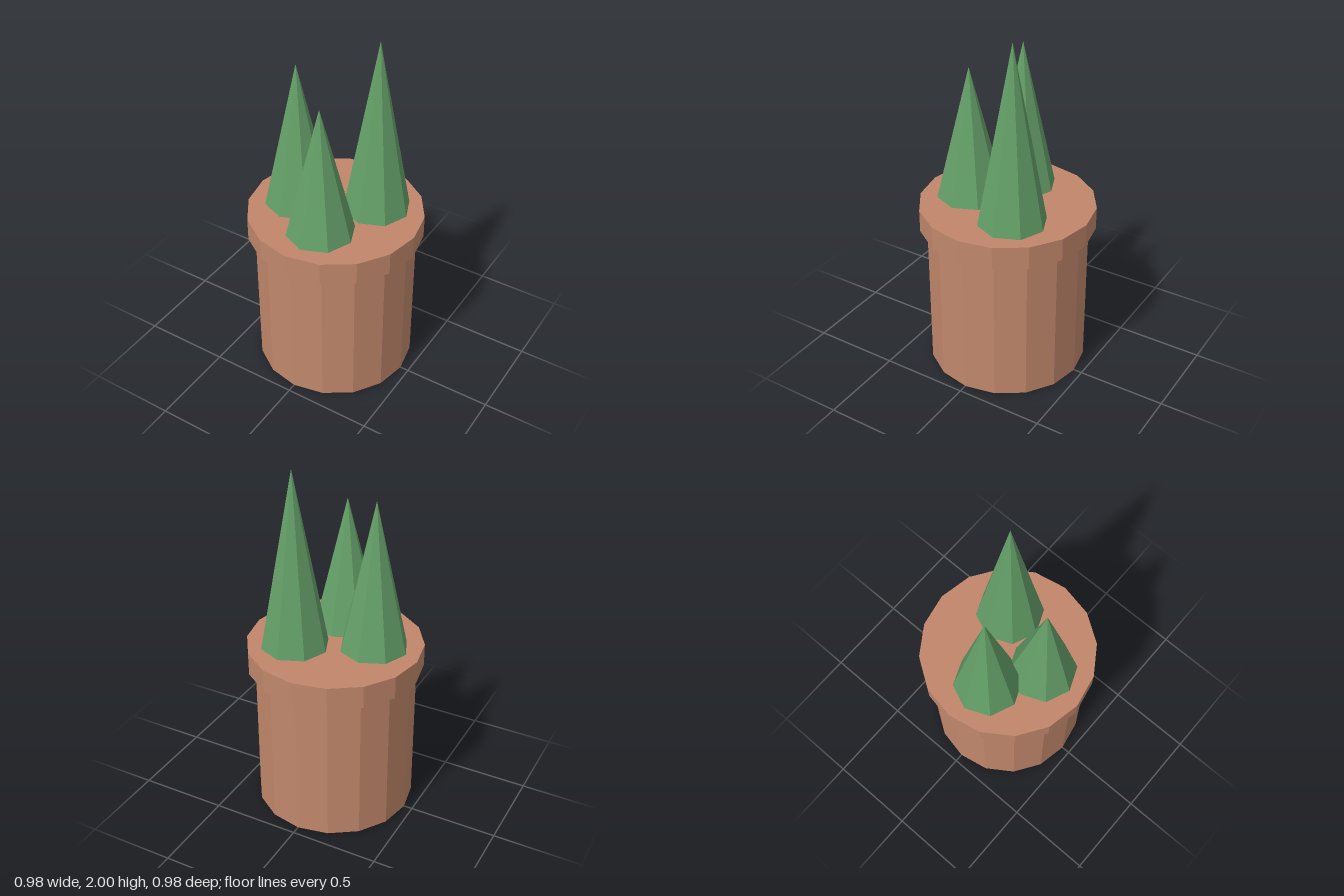
import * as THREE from 'three';

export function createModel() {
  const model = new THREE.Group();
  model.name = 'pottedPlant';
  const clay = new THREE.MeshStandardMaterial({ color: 0xc1876b, flatShading: true });
  const leaf = new THREE.MeshStandardMaterial({ color: 0x649f68, flatShading: true });

  const add = (name, geometry, material, x, y, z) => {
    const mesh = new THREE.Mesh(geometry, material);
    mesh.name = name;
    mesh.position.set(x, y, z);
    model.add(mesh);
  };

  // Sixteen-sided pot with a wider rim
  const rimTop = 0.99, rimBottom = 0.86;
  add('potBody', new THREE.CylinderGeometry(0.45, 0.45, rimBottom, 16), clay, 0, rimBottom / 2, 0);
  add('potRim', new THREE.CylinderGeometry(0.49, 0.49, rimTop - rimBottom, 16), clay, 0, (rimTop + rimBottom) / 2, 0);

  // Three eight-sided spikes standing on the pot: name, x, z, tip height
  const spikes = [
    ['rightSpike', -0.216, 0.039, 1.84],
    ['leftSpike', 0.176, -0.138, 2.0],
    ['frontSpike', 0.039, 0.215, 1.745],
  ];
  for (const [name, x, z, tip] of spikes) {
    const height = tip - rimTop;
    add(name, new THREE.ConeGeometry(0.19, height, 8), leaf, x, rimTop + height / 2, z);
  }
  return model;
}
